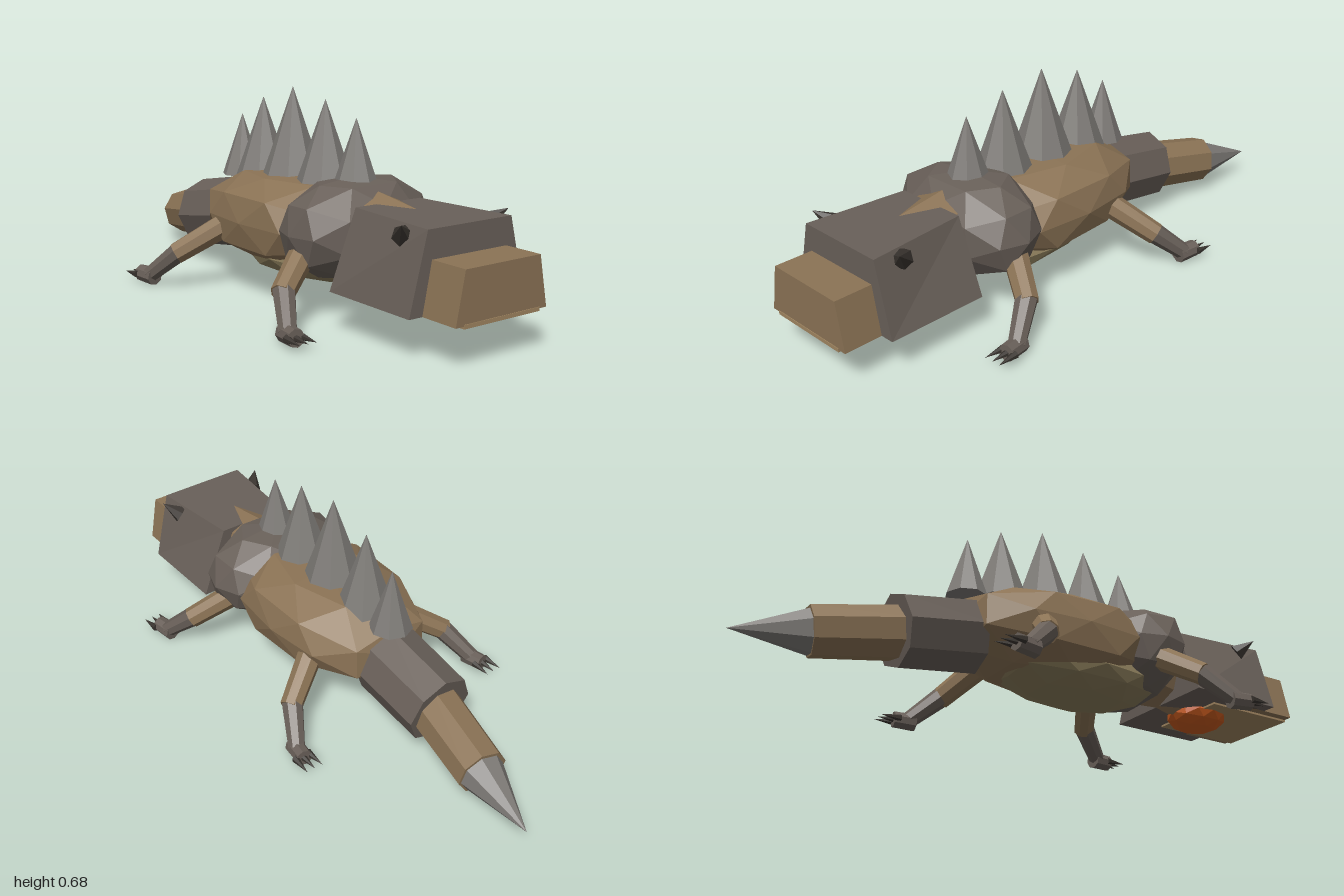
import * as THREE from 'three';

const V = (x, y, z) => new THREE.Vector3(x, y, z);
const mat = (color) => new THREE.MeshStandardMaterial({ color, flatShading: true });

export function createModel() {
  const group = new THREE.Group();
  const brown = mat(0x8b7355), grey = mat(0x696059), spikeGrey = mat(0x7d7a76);
  const dark = mat(0x3a3530), bellyMat = mat(0x8b7d5b), orange = mat(0xc85a1e), tan = mat(0xa08560);

  const add = (name, geo, m, parent = group) => {
    const mesh = new THREE.Mesh(geo, m);
    mesh.name = name;
    parent.add(mesh);
    return mesh;
  };

  // Faceted ellipsoid; p above 2 makes it squarer, a position-based wobble makes it irregular
  const blob = (name, m, c, r, p = 2, wobble = 0) => {
    const geo = new THREE.IcosahedronGeometry(1, 1);
    const pos = geo.attributes.position, v = V(0, 0, 0);
    for (let i = 0; i < pos.count; i++) {
      v.fromBufferAttribute(pos, i);
      const n = (Math.abs(v.x) ** p + Math.abs(v.y) ** p + Math.abs(v.z) ** p) ** (1 / p);
      const k = (1 + wobble * Math.sin(v.x * 7 + v.y * 11 + v.z * 5)) / n;
      pos.setXYZ(i, v.x * k * r.x, v.y * k * r.y, v.z * k * r.z);
    }
    geo.computeVertexNormals();
    const mesh = add(name, geo, m);
    mesh.position.copy(c);
    return mesh;
  };

  // Tapered tube between two points; r1 = 0 gives a cone
  const limb = (name, m, a, b, r0, r1, sides = 8, parent = group) => {
    const d = b.clone().sub(a);
    const mesh = add(name, new THREE.CylinderGeometry(r1, r0, d.length(), sides), m, parent);
    mesh.position.copy(a).addScaledVector(d, 0.5);
    mesh.quaternion.setFromUnitVectors(V(0, 1, 0), d.normalize());
    return mesh;
  };

  // Box whose top is narrower than its bottom: half widths at bottom, top front, top back
  const wedge = (name, m, wBottom, wFront, wBack, y0, y1, z0, z1) => {
    const geo = new THREE.BoxGeometry(2, y1 - y0, z1 - z0);
    const pos = geo.attributes.position;
    for (let i = 0; i < pos.count; i++) {
      const w = pos.getY(i) < 0 ? wBottom : pos.getZ(i) > 0 ? wFront : wBack;
      pos.setX(i, pos.getX(i) * w);
    }
    geo.computeVertexNormals();
    add(name, geo, m).position.set(0, (y0 + y1) / 2, (z0 + z1) / 2);
  };

  // Torso
  blob('body', brown, V(0, 0.25, 0.07), V(0.243, 0.15, 0.36), 2.8, 0.02);
  blob('belly', bellyMat, V(0, 0.145, 0.17), V(0.19, 0.075, 0.3), 2.2, 0.03);
  blob('chest', grey, V(0, 0.265, 0.37), V(0.265, 0.165, 0.168), 2.3, 0.03);
  limb('neck', brown, V(0, 0.275, 0.38), V(0, 0.232, 0.66), 0.13, 0.13);

  // Head
  wedge('head', grey, 0.222, 0.16, 0.127, 0.125, 0.365, 0.525, 0.87);
  wedge('snout', brown, 0.174, 0.143, 0.143, 0.125, 0.28, 0.8, 0.998);
  wedge('jaw', tan, 0.145, 0.145, 0.145, 0.118, 0.13, 0.66, 1.0);
  blob('throatPouch', orange, V(0, 0.12, 0.7), V(0.1, 0.054, 0.11));

  // Back spikes: z, base y, tip y, radius
  [
    [0.37, 0.4, 0.605, 0.07],
    [0.215, 0.385, 0.65, 0.093],
    [0.04, 0.345, 0.677, 0.115],
    [-0.13, 0.355, 0.63, 0.097],
    [-0.26, 0.345, 0.56, 0.072],
  ].forEach(([z, y0, y1, r]) => limb('backSpike', spikeGrey, V(0, y0, z), V(0, y1, z), r, 0));

  // Tail
  limb('tailBase', grey, V(0, 0.21, -0.24), V(0, 0.165, -0.51), 0.127, 0.122);
  limb('tailMiddle', brown, V(0, 0.165, -0.47), V(0.055, 0.12, -0.765), 0.09, 0.083);
  limb('tailTip', spikeGrey, V(0.054, 0.12, -0.755), V(0.1, 0.09, -1), 0.077, 0);

  // Mirrored horns and legs; rear legs mirror the front ones about z = 0.14
  for (const s of [1, -1]) {
    limb('horn', dark, V(s * 0.16, 0.33, 0.77), V(s * 0.207, 0.372, 0.815), 0.033, 0, 6);
    for (const f of [1, -1]) {
      const leg = new THREE.Group();
      leg.name = f > 0 ? 'frontLeg' : 'rearLeg';
      group.add(leg);
      const P = (x, y, z) => V(s * x, y, 0.14 + f * z);
      limb('upperLeg', brown, P(0.18, 0.222, 0.215), P(0.335, 0.118, 0.305), 0.043, 0.037, 8, leg);
      limb('lowerLeg', grey, P(0.325, 0.125, 0.3), P(0.383, 0.033, 0.4), 0.036, 0.028, 8, leg);
      limb('foot', grey, P(0.378, 0.03, 0.375), P(0.39, 0.032, 0.45), 0.03, 0.028, 8, leg);
      for (const k of [-1, 0, 1]) {
        limb('claw', dark, P(0.39 + k * 0.024, 0.032, 0.435), P(0.39 + k * 0.029, 0.03, 0.507), 0.013, 0, 6, leg);
      }
    }
  }
  return group;
}
